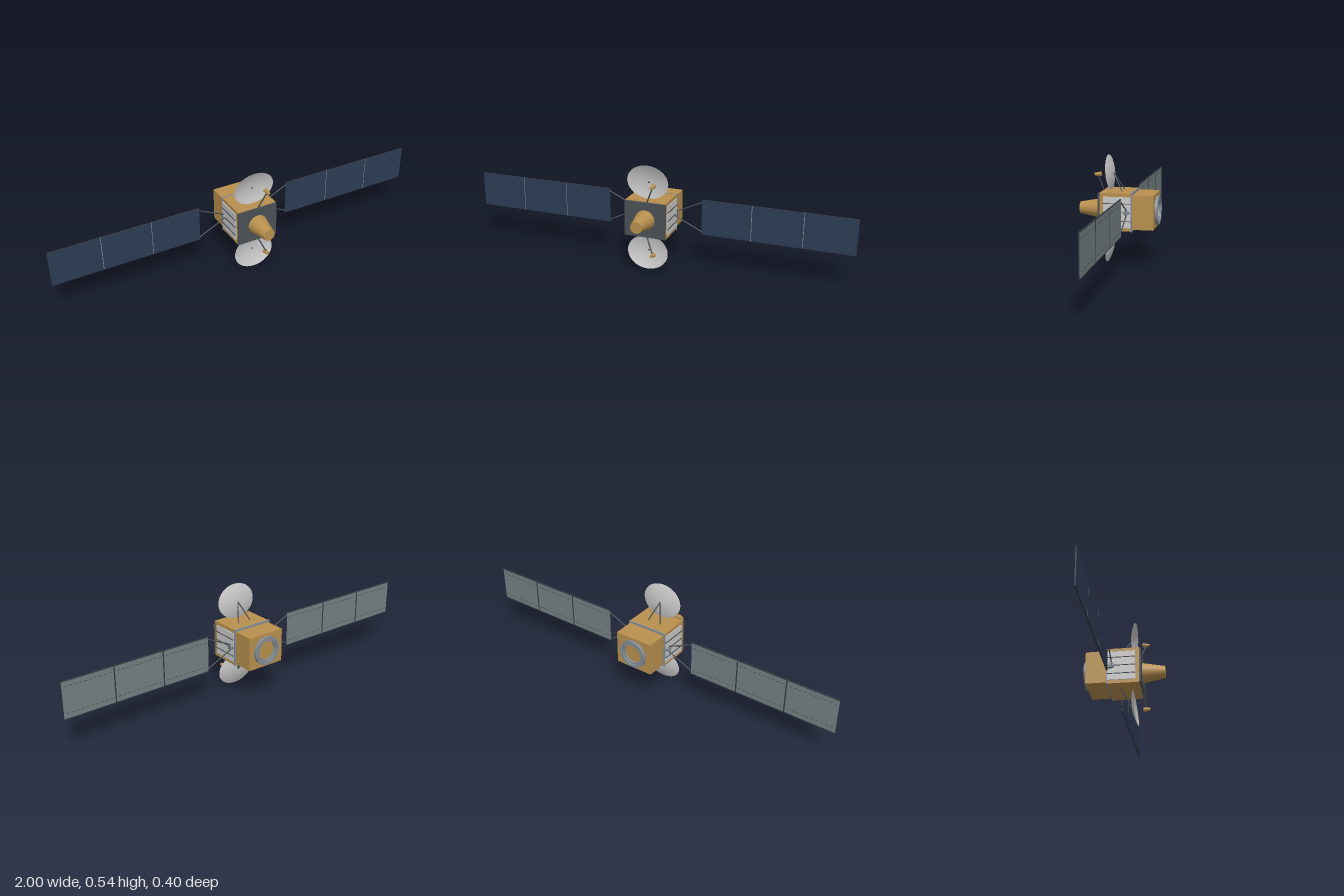
import * as THREE from 'three';

const mat = (name, color, side = THREE.FrontSide) => {
  const m = new THREE.MeshStandardMaterial({ color, side });
  m.name = name;
  return m;
};

export function createModel() {
  const model = new THREE.Group();
  model.name = 'satellite';
  const CY = 0.27; // height of the main axis
  const WZ = -0.054; // plane of the solar wings

  const gold = mat('gold foil', 0xb8904e);
  const dark = mat('dark graphite', 0x4a5056);
  const steel = mat('steel', 0x848d96);
  const pale = mat('radiator white', 0xc9c9c9);
  const dishMat = mat('dish grey', 0xc6c6c6, THREE.DoubleSide);
  const navy = mat('solar cell blue', 0x2c3b52);
  const panelBack = mat('panel back grey', 0x767f84);
  const edge = mat('panel edge', 0x353b40);

  const add = (name, geo, material, x = 0, y = 0, z = 0, parent = model) => {
    const m = new THREE.Mesh(geo, material);
    m.name = name;
    m.position.set(x, y, z);
    parent.add(m);
    return m;
  };
  const box = (name, material, w, h, d, x, y, z, parent) =>
    add(name, new THREE.BoxGeometry(w, h, d), material, x, y, z, parent);
  // Cylinder or cone running from point a to point b
  const rod = (name, material, a, b, ra, rb = ra, sides = 10) => {
    const A = new THREE.Vector3(...a), B = new THREE.Vector3(...b);
    const dir = B.clone().sub(A);
    const m = add(name, new THREE.CylinderGeometry(rb, ra, dir.length(), sides), material);
    m.position.copy(A).add(B).multiplyScalar(0.5);
    m.quaternion.setFromUnitVectors(new THREE.Vector3(0, 1, 0), dir.normalize());
    return m;
  };

  // Body
  box('mainBody', gold, 0.21, 0.186, 0.16, 0, CY, 0);
  box('rearBody', gold, 0.2, 0.169, 0.108, 0, CY, -0.131);
  box('bodyFlange', steel, 0.216, 0.19, 0.006, 0, CY, -0.078);
  box('frontPlate', dark, 0.214, 0.18, 0.008, 0, CY, 0.084);
  rod('frontHorn', gold, [0, CY, 0.086], [0, CY, 0.2], 0.051, 0.03, 40);

  // Stepped docking ring at the rear, open in the middle
  const ringPts = [[0.048, 0], [0.048, 0.011], [0.056, 0.011], [0.056, 0.007], [0.06, 0.007],
    [0.06, 0.015], [0.072, 0.015], [0.072, 0]];
  // each step is its own lathe so that the edges stay sharp
  for (let i = 0; i < ringPts.length - 1; i++) {
    const pts = [ringPts[i + 1], ringPts[i]].map(p => new THREE.Vector2(...p));
    const geo = new THREE.LatheGeometry(pts, 40);
    geo.rotateX(-Math.PI / 2);
    add('rearRing', geo, ringSteel(), 0, CY, -0.185);
  }
  function ringSteel() {
    steel.side = THREE.DoubleSide;
    return steel;
  }

  for (const s of [1, -1]) {
    // Side radiator with three ribs
    box('radiator', pale, 0.005, 0.151, 0.137, s * 0.107, CY, -0.0065);
    for (const dy of [-0.043, 0, 0.043])
      box('radiatorRib', dark, 0.006, 0.003, 0.137, s * 0.1105, CY + dy, -0.0065);

    // Wing joint and yoke
    rod('wingJoint', steel, [s * 0.105, CY, WZ], [s * 0.121, CY, WZ], 0.0135, 0.0135, 16);
    rod('yokeBase', dark, [s * 0.118, CY - 0.017, WZ], [s * 0.118, CY + 0.017, WZ], 0.0035);
    for (const t of [1, -1])
      rod('yokeArm', dark, [s * 0.118, CY + t * 0.016, WZ], [s * 0.25, CY + t * 0.078, WZ], 0.003);

    // Solar wing: three panels with dashed seams on the back
    const wing = new THREE.Group();
    wing.name = s > 0 ? 'leftWing' : 'rightWing';
    model.add(wing);
    const W = 0.2487, H = 0.181;
    for (let i = 0; i < 3; i++) {
      const x = s * (0.2473 + W / 2 + i * 0.252);
      box('solarPanel', [edge, edge, edge, edge, navy, panelBack], W, H, 0.005, x, CY, WZ, wing);
      for (const t of [1, -1]) {
        box('panelBackRim', edge, W, 0.003, 0.002, x, CY + t * 0.089, WZ - 0.003, wing);
        for (let k = 0; k < 10; k++)
          box('panelSeam', edge, 0.013, 0.002, 0.001, x + (k - 4.5) * 0.0235, CY + t * 0.063, WZ - 0.0028, wing);
      }
      if (i < 2) {
        const hx = s * (0.2473 + W + i * 0.252 + 0.00165);
        box('panelHingeFront', steel, 0.0034, H, 0.003, hx, CY, WZ + 0.0005, wing);
        box('panelHingeBack', edge, 0.006, H, 0.003, hx, CY, WZ - 0.0025, wing);
      }
    }
  }

  // Upper and lower dishes with their feeds
  for (const s of [1, -1]) {
    const R = 0.107, depth = 0.0175, pts = [];
    for (let i = 0; i <= 10; i++) {
      const t = i / 10;
      pts.push(new THREE.Vector2(R * t, -depth * (1 - t * t)));
    }
    const geo = new THREE.LatheGeometry(pts, 48);
    geo.rotateX(Math.PI / 2);
    geo.scale(1, 0.087 / R, 1);
    const dish = add(s > 0 ? 'upperDish' : 'lowerDish', geo, dishMat, 0, CY + s * 0.183, 0.049);
    dish.rotation.x = s * 0.104;

    for (const t of [1, -1])
      rod('dishStrut', dark, [t * 0.036, CY + s * 0.092, -0.018], [0, CY + s * 0.182, 0.032], 0.003);
    rod('feedArm', dark, [0.008, CY + s * 0.09, 0.078], [0.045, CY + s * 0.174, 0.099], 0.0035);
    rod('feedHorn', gold, [0.045, CY + s * 0.1785, 0.083], [0.045, CY + s * 0.1755, 0.117], 0.0115, 0.0075, 20);
  }

  return model;
}
